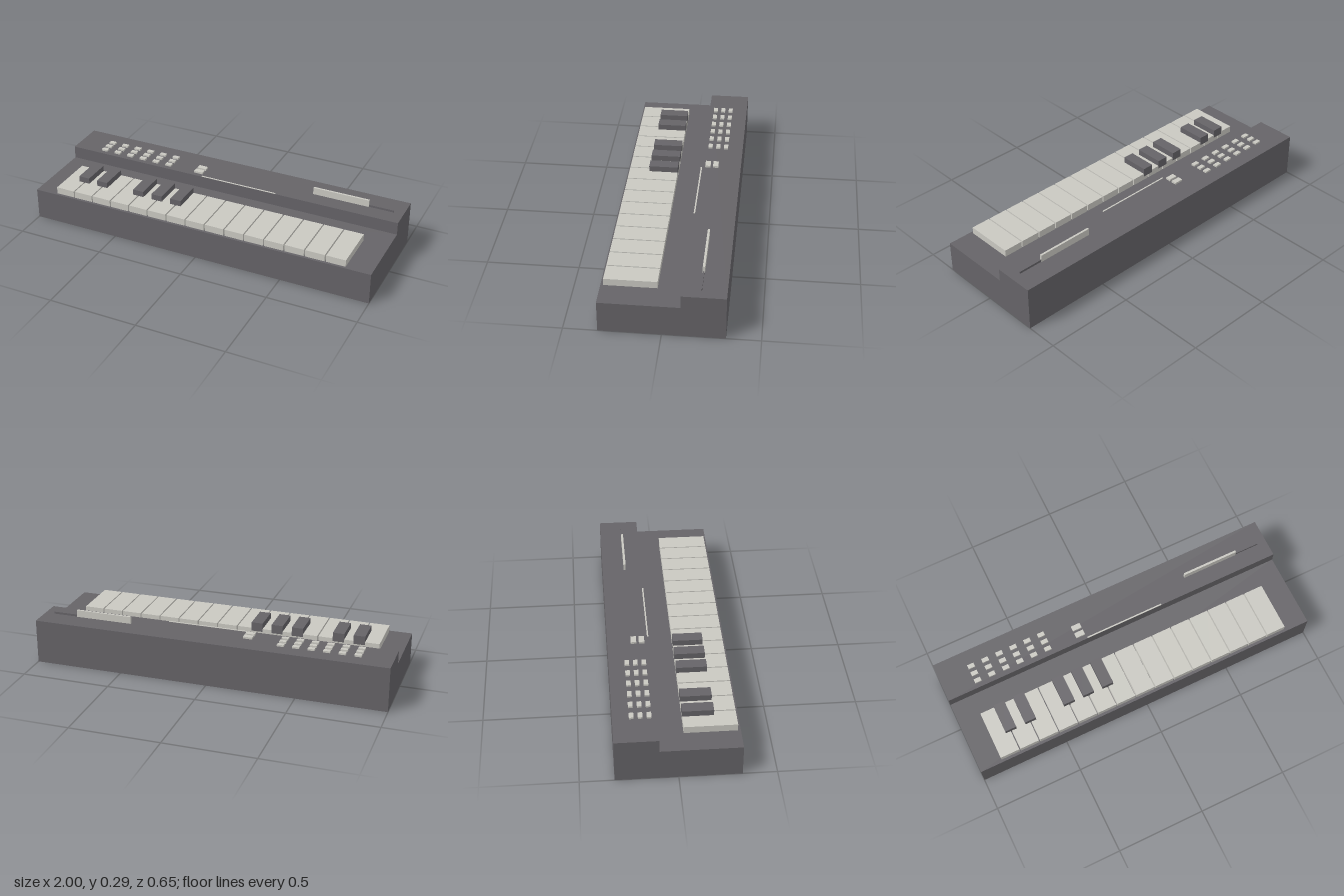
import * as THREE from 'three';

export function createModel() {
  const model = new THREE.Group();
  model.name = 'keyboard';
  const charcoal = new THREE.MeshStandardMaterial({ color: 0x656367 });
  charcoal.name = 'charcoal';
  const ivory = new THREE.MeshStandardMaterial({ color: 0xc9c8c1 });
  ivory.name = 'ivory';

  // box given by its limits on each axis
  function box(name, material, [x0, x1], [y0, y1], [z0, z1]) {
    const mesh = new THREE.Mesh(new THREE.BoxGeometry(x1 - x0, y1 - y0, z1 - z0), material);
    mesh.position.set((x0 + x1) / 2, (y0 + y1) / 2, (z0 + z1) / 2);
    mesh.name = name;
    model.add(mesh);
  }

  const deck = 0.178, panel = 0.25;

  // stepped case: side profile (z, y) extruded along x
  const profile = new THREE.Shape([
    [-0.323, 0], [0.323, 0], [0.323, deck], [-0.097, deck], [-0.097, panel], [-0.323, panel],
  ].map(([z, y]) => new THREE.Vector2(-z, y)));
  const caseGeometry = new THREE.ExtrudeGeometry(profile, { depth: 2, bevelEnabled: false });
  caseGeometry.rotateY(Math.PI / 2).translate(-1, 0, 0);
  const body = new THREE.Mesh(caseGeometry, charcoal);
  body.name = 'case';
  model.add(body);

  // white keys
  const pitch = 0.1158, start = -0.873;
  for (let i = 0; i < 15; i++) {
    const x = start + i * pitch;
    box('whiteKey', ivory, [x, x + pitch - 0.007], [deck, 0.217], [0.033, 0.308]);
  }

  // black keys over the gaps
  for (const i of [1, 2, 4, 5, 6]) {
    const x = start + i * pitch - 0.0035;
    box('blackKey', charcoal, [x - 0.032, x + 0.032], [0.2, 0.25], [0.0325, 0.195]);
  }

  // grid of small buttons
  for (let column = 0; column < 6; column++) {
    const x = -0.811 + column * 0.084;
    for (const z of [-0.226, -0.181, -0.136]) {
      box('button', ivory, [x - 0.019, x + 0.019], [panel, 0.26], [z - 0.012, z + 0.012]);
    }
  }

  // pair of larger buttons
  for (const z of [-0.181, -0.137]) {
    box('largeButton', ivory, [-0.222, -0.17], [panel, 0.261], [z - 0.015, z + 0.015]);
  }

  // trim strip on the panel's front edge
  box('trimStrip', ivory, [-0.165, 0.29], [panel, 0.252], [-0.105, -0.097]);

  // upright plate and the low rail beside it
  box('uprightPlate', ivory, [0.48, 0.804], [panel, 0.29], [-0.2, -0.188]);
  box('rail', charcoal, [0.804, 0.945], [panel, 0.262], [-0.197, -0.191]);

  return model;
}
